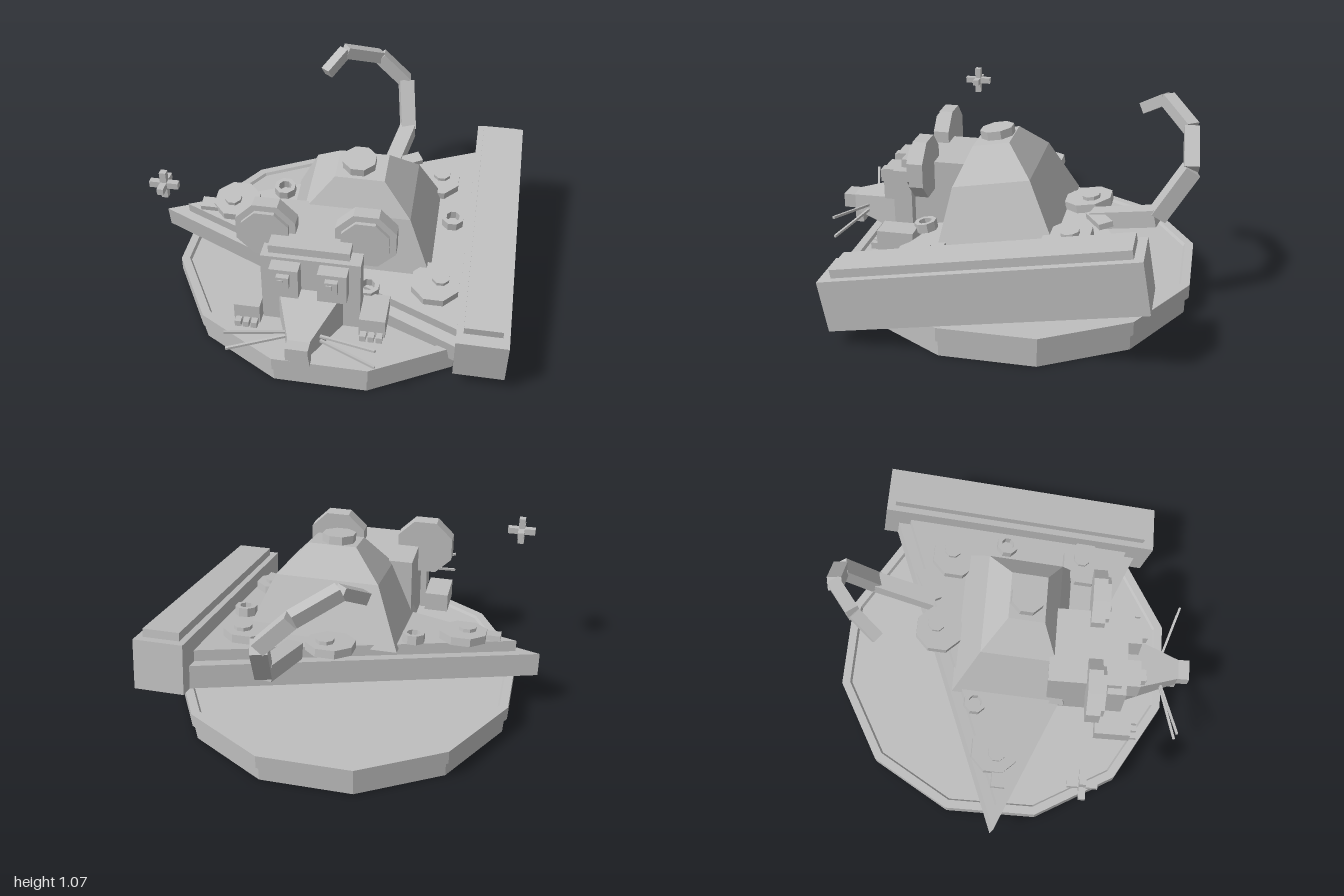
import * as THREE from 'three';

const TILT = 0.174;
const SLICE_Y = 0.21;
const CHEESE_TOP = 0.185;

export function createModel() {
  const model = new THREE.Group();
  const grey = new THREE.MeshStandardMaterial({ color: 0xbebebe, flatShading: true });
  grey.name = 'clay grey';

  const add = (name, geometry, parent = model, x = 0, y = 0, z = 0) => {
    const mesh = new THREE.Mesh(geometry, grey);
    mesh.name = name;
    mesh.position.set(x, y, z);
    parent.add(mesh);
    return mesh;
  };
  // Box given by its lower and upper corner
  const box = (name, a, b, parent = model) =>
    add(name, new THREE.BoxGeometry(b[0] - a[0], b[1] - a[1], b[2] - a[2]), parent,
      (a[0] + b[0]) / 2, (a[1] + b[1]) / 2, (a[2] + b[2]) / 2);
  // Flat-sided octagonal disc with the given half width
  const octagon = (half, h) => {
    const r = half / Math.cos(Math.PI / 8);
    return new THREE.CylinderGeometry(r, r, h, 8, 1, false, Math.PI / 8);
  };
  // Rectangular sections [halfX, halfZ, y, centreZ] joined from bottom to top
  const loft = (sections) => {
    const pos = [], idx = [];
    for (const [hx, hz, y, cz] of sections) {
      pos.push(-hx, y, cz + hz, hx, y, cz + hz, hx, y, cz - hz, -hx, y, cz - hz);
    }
    const n = (sections.length - 1) * 4;
    for (let k = 0; k < n; k += 4) {
      for (let i = 0; i < 4; i++) {
        const a = k + i, b = k + (i + 1) % 4;
        idx.push(a, b, b + 4, a, b + 4, a + 4);
      }
    }
    idx.push(0, 2, 1, 0, 3, 2, n, n + 1, n + 2, n, n + 2, n + 3);
    const g = new THREE.BufferGeometry();
    g.setAttribute('position', new THREE.Float32BufferAttribute(pos, 3));
    g.setIndex(idx);
    const flat = g.toNonIndexed();
    flat.computeVertexNormals();
    return flat;
  };
  // Square bar between two points
  const bar = (name, a, b, width) => {
    const p = new THREE.Vector3(...a), q = new THREE.Vector3(...b);
    const mesh = add(name, new THREE.BoxGeometry(width, width, p.distanceTo(q)));
    mesh.position.copy(p).lerp(q, 0.5);
    mesh.lookAt(q);
    return mesh;
  };

  // Twelve-sided plate with a raised rim
  const profile = [[0, 0], [0.905, 0], [0.905, 0.09], [0.925, 0.09], [0.925, 0.165],
    [0.88, 0.165], [0.87, 0.15], [0, 0.15]]
    .map(([r, y]) => new THREE.Vector2(r / Math.cos(Math.PI / 12), y));
  add('plate', new THREE.LatheGeometry(profile, 12, Math.PI / 12), model, 0.055, 0, -0.055);

  // Tilted slice with everything that lies on it
  const slice = new THREE.Group();
  slice.name = 'slice';
  slice.position.y = SLICE_Y;
  slice.rotation.x = TILT;
  model.add(slice);

  const wedge = (name, tip, half, y, h) => {
    const s = new THREE.Shape([new THREE.Vector2(tip, 0), new THREE.Vector2(0.73, -half), new THREE.Vector2(0.73, half)]);
    const g = new THREE.ExtrudeGeometry(s, { depth: h, bevelEnabled: false });
    g.rotateX(-Math.PI / 2);
    add(name, g, slice, 0, y, -0.045);
  };
  wedge('dough', -1, 0.715, 0, 0.125);
  wedge('cheese', -0.87, 0.65, 0.125, CHEESE_TOP - 0.125);
  box('crust', [0.72, 0, -0.836], [0.985, 0.27, 0.744], slice);
  box('crustTop', [0.755, 0.26, -0.79], [0.95, 0.315, 0.68], slice);

  const localZ = (z) => (z - 0.036) / 0.985;
  // Round toppings, each with a small bump
  for (const [x, z, dx, dz] of [[-0.585, -0.05, -0.02, 0.01], [0.06, -0.415, 0.025, -0.02],
    [0.52, -0.37, 0.025, -0.02], [0.585, 0.375, 0.025, -0.02]]) {
    add('toppingDisc', octagon(0.123, 0.045), slice, x, CHEESE_TOP + 0.022, localZ(z));
    add('toppingBump', octagon(0.045, 0.02), slice, x + dx, CHEESE_TOP + 0.054, localZ(z + dz));
  }
  // Olive rings
  for (const [x, z] of [[-0.335, -0.18], [0.635, -0.08], [0.24, 0.45]]) {
    const pts = [[0.037, 0], [0.062, 0], [0.062, 0.05], [0.037, 0.05], [0.037, 0]]
      .map((p) => new THREE.Vector2(...p));
    add('oliveRing', new THREE.LatheGeometry(pts, 8, Math.PI / 8), slice, x, CHEESE_TOP, localZ(z));
  }
  // Vegetable strips
  for (const [x, z, w, turn] of [[0.32, -0.5, 0.19, 0.5], [-0.72, -0.015, 0.13, 0]]) {
    const strip = add('vegetableStrip', new THREE.BoxGeometry(w, 0.03, 0.075), slice,
      x, CHEESE_TOP + 0.015, localZ(z));
    strip.rotation.y = turn;
  }

  // Hunched body with a round cap
  add('body', loft([[0.415, 0.317, 0.16, -0.03], [0.28, 0.205, 0.485, -0.04],
    [0.13, 0.098, 0.645, -0.037]]), slice, 0.145);
  add('bodyCap', octagon(0.085, 0.05), slice, 0.13, 0.665, -0.045);

  // Curled tail
  const tail = [[0.24, 0.47, -0.46], [0.3, 0.54, -0.79], [0.26, 0.79, -0.945],
    [0.1, 0.95, -0.93], [-0.09, 1.04, -0.79], [-0.18, 0.955, -0.67]];
  const widths = [0.09, 0.085, 0.075, 0.068, 0.06];
  widths.forEach((w, i) => bar('tailSegment', tail[i], tail[i + 1], w));

  // Head
  box('headBack', [-0.25, 0.24, 0.21], [0.165, 0.685, 0.6]);
  box('face', [-0.285, 0.225, 0.53], [0.225, 0.64, 0.63]);
  const snout = add('snout', loft([[0.17, 0.11, 0.62, -0.335], [0.055, 0.045, 0.94, -0.345]]), model, -0.03);
  snout.rotation.x = Math.PI / 2;
  box('nose', [-0.087, 0.31, 0.93], [0.027, 0.39, 1]);
  box('teeth', [-0.08, 0.22, 0.895], [0.02, 0.315, 0.94]);

  // Paired head parts and paws, mirrored about the head centre line
  for (const s of [-1, 1]) {
    const side = new THREE.Group();
    side.name = s > 0 ? 'leftHeadParts' : 'rightHeadParts';
    side.position.x = -0.03;
    model.add(side);

    const ear = add('ear', octagon(0.155, 0.075), side, s * 0.256, 0.685, 0.453);
    const inner = add('innerEar', octagon(0.122, 0.03), side, s * 0.256, 0.685, 0.497);
    ear.rotation.x = inner.rotation.x = Math.PI / 2;

    add('eye', new THREE.BoxGeometry(0.148, 0.175, 0.08), side, s * 0.122, 0.535, 0.665);
    add('pupil', new THREE.BoxGeometry(0.065, 0.07, 0.04), side, s * 0.122, 0.565, 0.715);
    add('eyeGlint', new THREE.BoxGeometry(0.028, 0.028, 0.009), side, s * 0.122 - 0.01, 0.572, 0.736);

    add('paw', new THREE.BoxGeometry(0.135, 0.11, 0.2), side, s * 0.325, 0.285, 0.59);
    for (let i = -1; i <= 1; i++) {
      add('toe', new THREE.BoxGeometry(0.032, 0.035, 0.05), side, s * 0.325 + i * 0.042, 0.245, 0.705);
    }
    for (const [y0, y1] of [[0.34, 0.388], [0.325, 0.275]]) {
      bar('whisker', [-0.03 + s * 0.04, y0, 0.83], [-0.03 + s * 0.375, y1, 0.94], 0.013);
    }
  }

  // Floating sparkle
  for (const size of [[0.15, 0.034, 0.034], [0.034, 0.15, 0.034], [0.034, 0.034, 0.15]]) {
    add('sparkle', new THREE.BoxGeometry(...size), model, -0.825, 0.855, 0.41);
  }
  return model;
}
